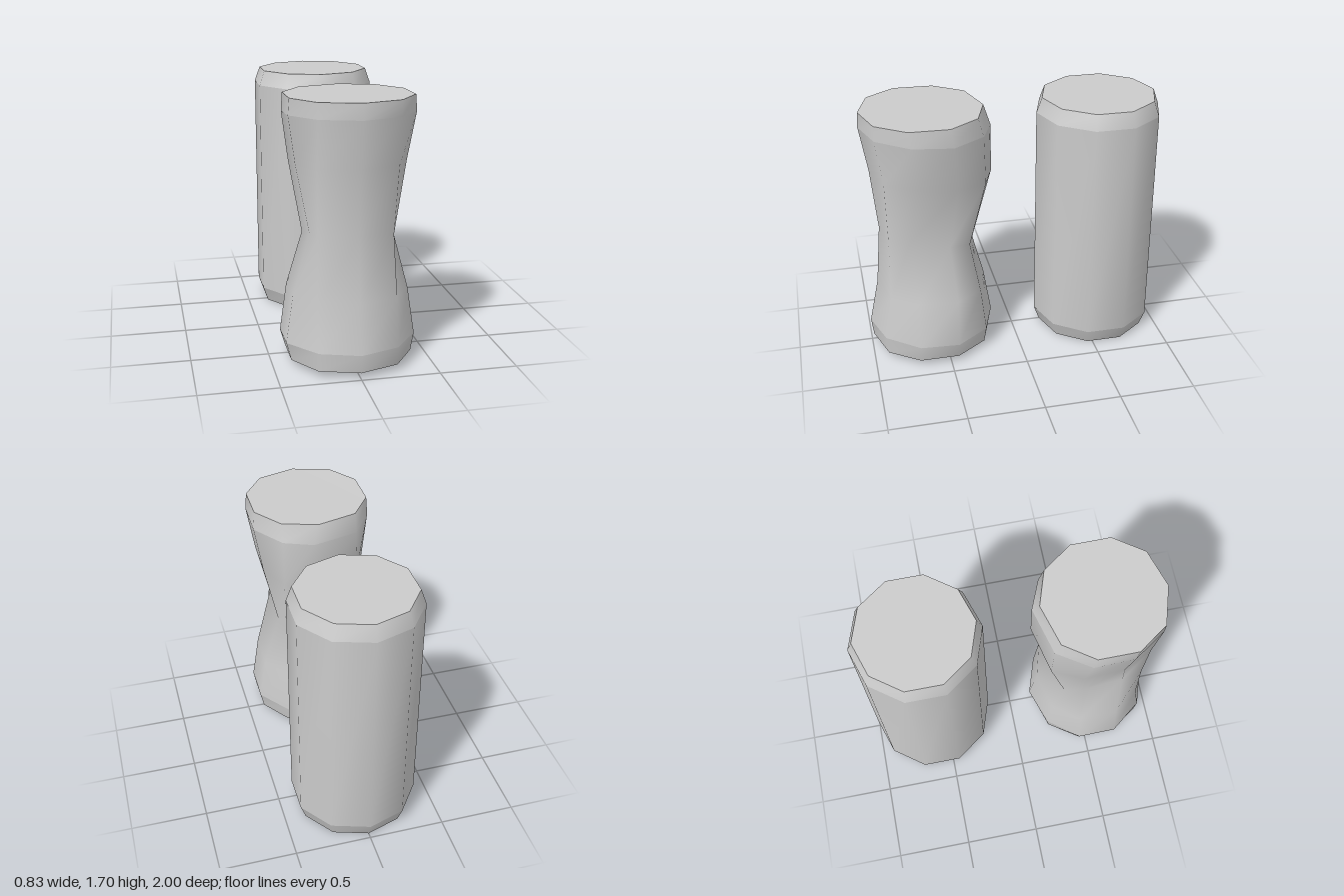
import * as THREE from 'three';

const SIDES = 10;
const material = new THREE.MeshStandardMaterial({ color: 0xcccccc });

// Surface from a list of rings of points, smooth within itself
function skin(rings, name) {
  const index = [];
  for (let i = 0; i < rings.length - 1; i++) {
    for (let j = 0; j < SIDES; j++) {
      const k = (j + 1) % SIDES;
      const a = i * SIDES + j, b = i * SIDES + k;
      index.push(a, b, b + SIDES, a, b + SIDES, a + SIDES);
    }
  }
  return makeMesh(rings.flat(), index, name);
}

// Flat ten-sided lid
function lid(ring, up, name) {
  const index = [];
  for (let j = 1; j < SIDES - 1; j++) index.push(0, up ? j : j + 1, up ? j + 1 : j);
  return makeMesh(ring, index, name);
}

function makeMesh(points, index, name) {
  const geometry = new THREE.BufferGeometry().setFromPoints(points);
  geometry.setIndex(index);
  geometry.computeVertexNormals();
  const mesh = new THREE.Mesh(geometry, material);
  mesh.name = name;
  return mesh;
}

// A can: lids, bevelled rims and wall, kept apart so their seams stay crisp
function can(rings, name) {
  const group = new THREE.Group();
  const n = rings.length;
  group.name = name;
  group.add(
    lid(rings[0], false, 'bottomLid'),
    skin(rings.slice(0, 2), 'bottomRim'),
    skin(rings.slice(1, n - 1), 'wall'),
    skin(rings.slice(n - 2), 'topRim'),
    lid(rings[n - 1], true, 'topLid')
  );
  return group;
}

// Regular ring, one corner towards the front
function roundRing(radius, y, z) {
  return Array.from({ length: SIDES }, (_, j) => {
    const a = (j / SIDES) * Math.PI * 2;
    return new THREE.Vector3(radius * Math.sin(a), y, z + radius * Math.cos(a));
  });
}

// Dented ring: the sides are pressed in while the diagonal corners hold their width
function dentedRing([yFront, yBack, xMin, xMax, zBack, zFront, diagonal, backShift]) {
  const zMid = (zBack + zFront) / 2, depth = (zFront - zBack) / 2;
  return Array.from({ length: SIDES }, (_, j) => {
    const a = (j / SIDES) * Math.PI * 2;
    const s = Math.sin(a), c = Math.cos(a);
    const side = s > 0 ? xMax : -xMin;
    let x = 0, z = c * depth;
    if (Math.abs(s) > 0.9) {
      x = Math.sign(s) * side;
      z = Math.sign(c) * 0.13;
    } else if (Math.abs(s) > 0.1) {
      x = Math.sign(s) * Math.min(0.25, side * 0.9);
      z = Math.sign(c) * depth * diagonal;
    } else if (c < 0) {
      x = backShift;
    }
    const y = THREE.MathUtils.lerp(yBack, yFront, THREE.MathUtils.clamp(0.5 + z / depth, 0, 1));
    return new THREE.Vector3(x, y, zMid + z);
  });
}

export function createModel() {
  const model = new THREE.Group();
  model.name = 'cans';

  // Intact can at the back
  const intact = [[0.38, 0], [0.416, 0.1], [0.416, 1.6], [0.38, 1.7]];
  model.add(can(intact.map(([r, y]) => roundRing(r, y, -0.583)), 'intactCan'));

  // Crushed can at the front: yFront, yBack, xMin, xMax, zBack, zFront, diagonal, backShift
  const crushed = [
    [0.04, 0.04, -0.385, 0.39, 0.17, 0.985, 0.81, 0],
    [0.16, 0.14, -0.415, 0.412, 0.15, 1.0, 0.81, 0],
    [0.47, 0.45, -0.37, 0.365, 0.2, 0.935, 0.82, 0],
    [0.88, 0.8, -0.27, 0.25, 0.29, 0.9, 0.87, 0],
    [1.3, 1.25, -0.345, 0.35, 0.15, 0.94, 0.82, 0.06],
    [1.6, 1.57, -0.39, 0.4, 0.15, 0.99, 0.81, 0.06],
    [1.7, 1.695, -0.385, 0.387, 0.188, 0.985, 0.81, 0.02],
  ];
  model.add(can(crushed.map(dentedRing), 'crushedCan'));

  return model;
}
